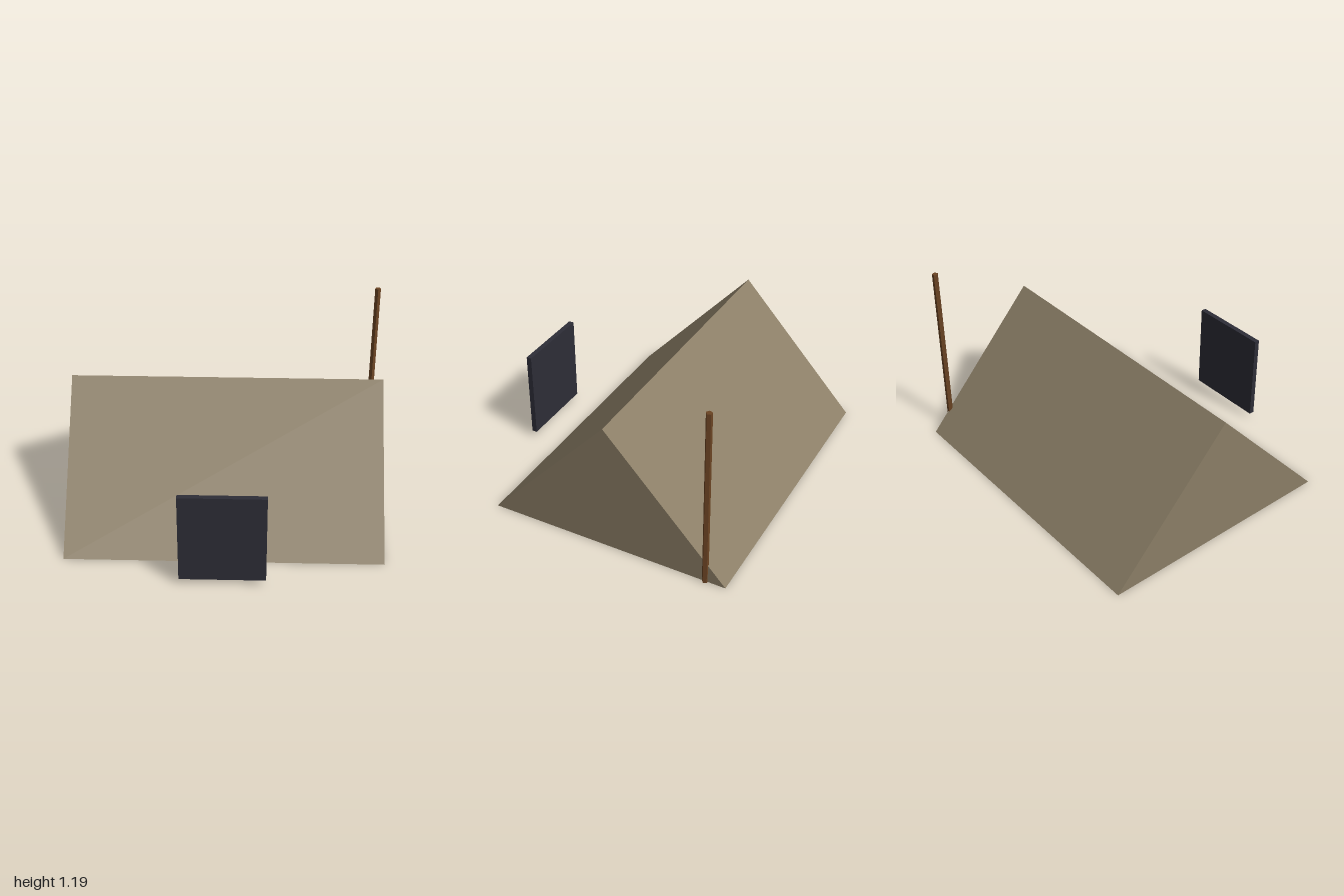
import * as THREE from 'three';

const mat = (name, color) => {
  const m = new THREE.MeshStandardMaterial({ color });
  m.name = name;
  return m;
};

export function createModel() {
  const group = new THREE.Group();
  group.name = 'tent';
  const canvas = mat('canvas', 0x8b7e66);
  const wood = mat('wood', 0x6b4423);
  const dark = mat('darkCloth', 0x2d2d37);

  const add = (name, geometry, material, x, y, z) => {
    const flat = geometry.index ? geometry.toNonIndexed() : geometry;
    flat.computeVertexNormals(); // hard low-poly facets
    const mesh = new THREE.Mesh(flat, material);
    mesh.name = name;
    mesh.position.set(x, y, z);
    group.add(mesh);
    return mesh;
  };

  // Closed triangular tent body, extruded along x
  const section = new THREE.Shape([
    new THREE.Vector2(-0.79, 0),
    new THREE.Vector2(0.79, 0),
    new THREE.Vector2(0, 0.86),
  ]);
  const body = new THREE.ExtrudeGeometry(section, { depth: 1.98, bevelEnabled: false });
  body.rotateY(Math.PI / 2);
  add('tentBody', body, canvas, -1, 0, -0.11);

  // Door panel standing in front
  add('doorPanel', new THREE.BoxGeometry(0.525, 0.59, 0.034), dark, -0.01, 0.333, 0.883);

  // Five-sided pole at the back left corner
  add('pole', new THREE.CylinderGeometry(0.02, 0.02, 1.19, 5), wood, 0.98, 0.595, -0.77);

  return group;
}
